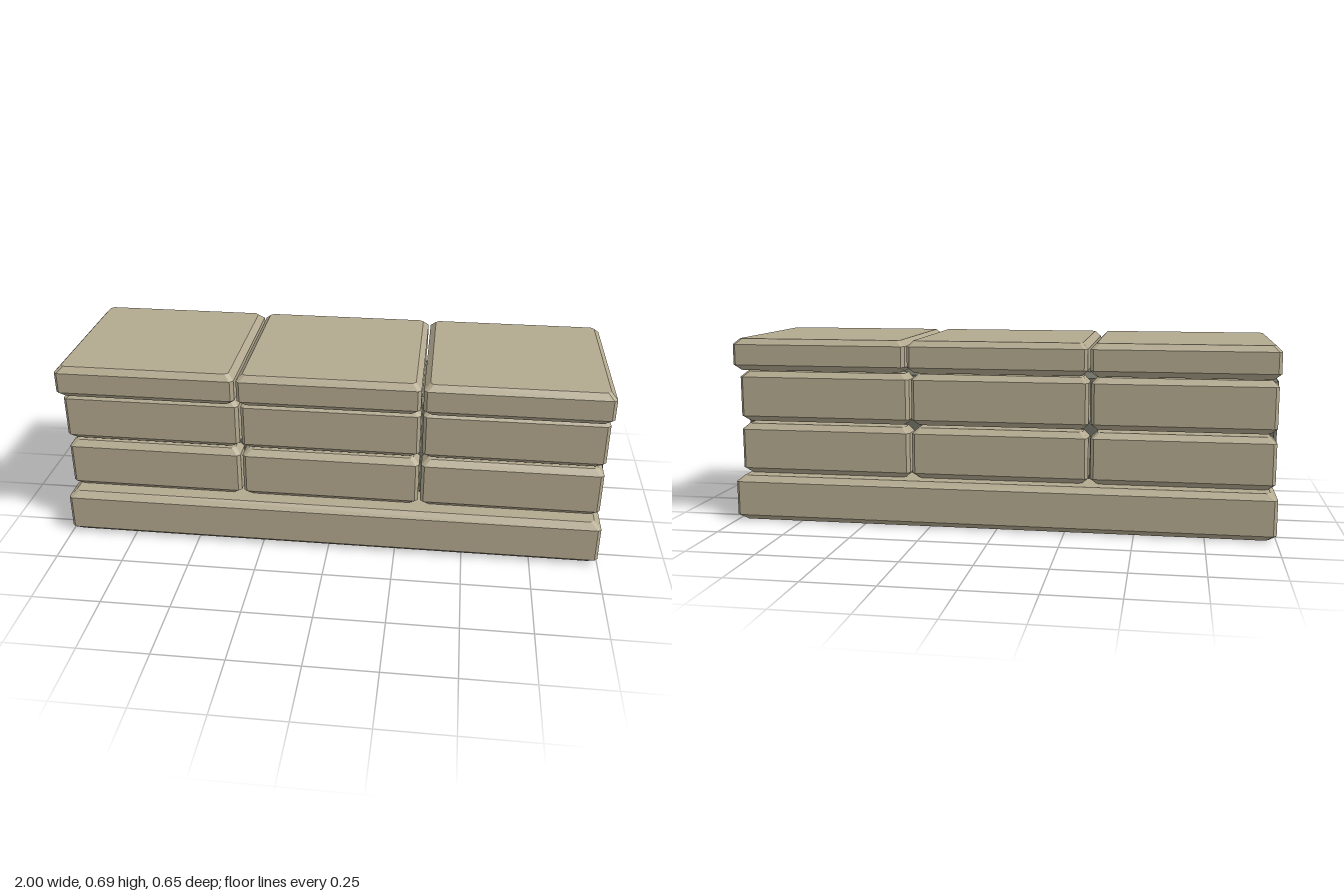
import * as THREE from 'three';
import { ConvexGeometry } from 'three/addons/geometries/ConvexGeometry.js';

// Stone block: cut vertical corners, bevelled top and bottom edges
function block(name, material, { x = 0, halfX, halfZ, y0, y1, inset, rise = 0.021, cut = 0.012 }) {
  const h = (y1 - y0) / 2;
  const points = [];
  for (const [y, i] of [[-h, inset], [-h + rise, 0], [h - rise, 0], [h, inset]]) {
    const a = halfX - i, b = halfZ - i;
    for (const sx of [-1, 1]) {
      for (const sz of [-1, 1]) {
        points.push(new THREE.Vector3(sx * a, y, sz * (b - cut)));
        points.push(new THREE.Vector3(sx * (a - cut), y, sz * b));
      }
    }
  }
  const mesh = new THREE.Mesh(new ConvexGeometry(points), material);
  mesh.name = name;
  mesh.position.set(x, y0 + h, 0);
  return mesh;
}

export function createModel() {
  const stone = new THREE.MeshStandardMaterial({ color: 0xb3a98f });
  stone.name = 'sandyStone';
  const mortar = new THREE.MeshStandardMaterial({ color: 0x6e7064 });
  mortar.name = 'darkCore';
  stone.flatShading = mortar.flatShading = true;

  const wall = new THREE.Group();
  wall.name = 'stoneWall';

  // Plinth and dark core
  wall.add(block('base', stone, { halfX: 1, halfZ: 0.325, y0: 0, y1: 0.17, inset: 0.025 }));
  wall.add(block('core', mortar, { halfX: 1, halfZ: 0.18, y0: 0.168, y1: 0.572, inset: 0.027 }));

  // Three columns: two courses of bricks and a capstone
  for (const x of [-0.666, 0, 0.666]) {
    for (const y0 of [0.17, 0.371]) {
      wall.add(block('brick', stone, { x, halfX: 0.329, halfZ: 0.264, y0, y1: y0 + 0.191, inset: 0.022 }));
    }
    wall.add(block('capstone', stone, { x, halfX: 0.329, halfZ: 0.321, y0: 0.572, y1: 0.69, inset: 0.021 }));
  }
  return wall;
}
